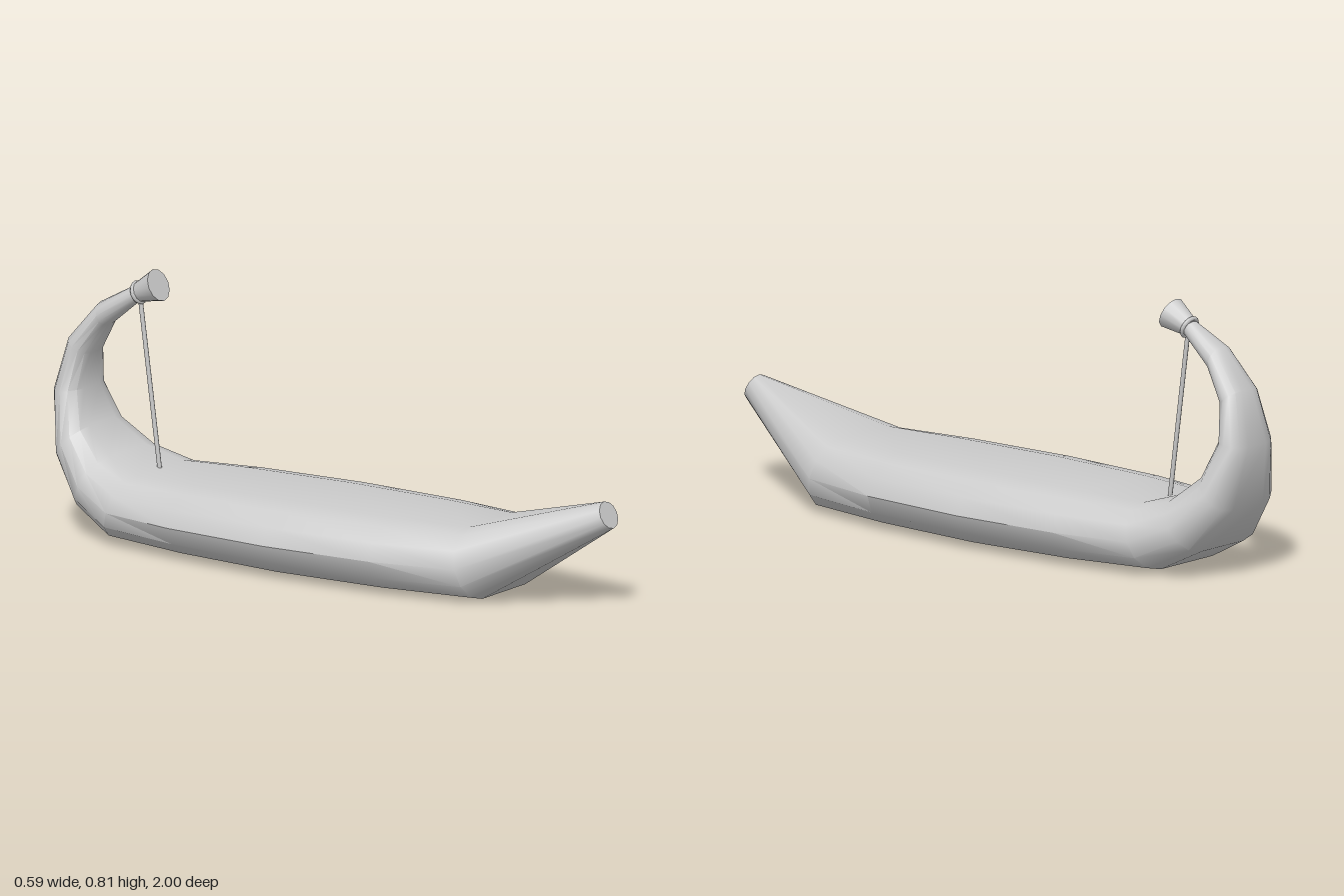
import * as THREE from 'three';
import { toCreasedNormals } from 'three/addons/utils/BufferGeometryUtils.js';

const material = new THREE.MeshStandardMaterial({ color: 0xcccccc });

// Stations from bow to stern neck: [deck z, deck y, keel z, keel y, half width, flat share of the width]
const STATIONS = [
  [0.965, 0.335, 1.0, 0.258, 0.042, 0.02],
  [0.55, 0.22, 0.6, 0.007, 0.222, 0.5],
  [0.3, 0.218, 0.3, 0.004, 0.275, 0.5],
  [-0.07, 0.217, -0.07, 0.002, 0.295, 0.5],
  [-0.43, 0.213, -0.43, 0.006, 0.277, 0.5],
  [-0.65, 0.208, -0.72, 0.014, 0.236, 0.5],
  [-0.77, 0.245, -0.86, 0.085, 0.197, 0.48],
  [-0.862, 0.32, -0.96, 0.22, 0.148, 0.45],
  [-0.9, 0.425, -0.997, 0.415, 0.1, 0.4],
  [-0.89, 0.53, -0.957, 0.578, 0.073, 0.3],
  [-0.835, 0.622, -0.86, 0.692, 0.053, 0.2],
  [-0.725, 0.71, -0.742, 0.757, 0.03, 0.02],
];

// Stadium section: two half twelve-gons pushed apart by a flat deck and bottom
function section([tz, ty, bz, by, w, flat]) {
  const pts = [];
  const add = (k, side) => {
    const a = (k * Math.PI) / 6;
    const s = Math.sin(a) / 2;
    pts.push(new THREE.Vector3(
      side * w * flat + w * (1 - flat) * Math.cos(a),
      (ty + by) / 2 + (ty - by) * s,
      (tz + bz) / 2 + (tz - bz) * s,
    ));
  };
  for (let k = -3; k <= 3; k++) add(k, 1);
  for (let k = 3; k <= 9; k++) add(k, -1);
  return pts;
}

// Skins the sections and closes both ends
function loft(rings) {
  const n = rings[0].length;
  const pos = [];
  const tri = (...v) => v.forEach((p) => pos.push(p.x, p.y, p.z));
  for (let i = 0; i < rings.length - 1; i++) {
    for (let j = 0; j < n; j++) {
      const k = (j + 1) % n;
      const [a, b, c, d] = [rings[i][j], rings[i][k], rings[i + 1][j], rings[i + 1][k]];
      tri(a, c, b);
      tri(b, c, d);
    }
  }
  const first = rings[0];
  const last = rings[rings.length - 1];
  for (let j = 1; j < n - 1; j++) {
    tri(first[0], first[j], first[j + 1]);
    tri(last[0], last[j + 1], last[j]);
  }
  const g = new THREE.BufferGeometry();
  g.setAttribute('position', new THREE.Float32BufferAttribute(pos, 3));
  return toCreasedNormals(g, 0.65);
}

// Tapered round bar between two points in the centre plane, given as [y, z]
function bar(name, from, to, r0, r1, sides) {
  const a = new THREE.Vector3(0, ...from);
  const b = new THREE.Vector3(0, ...to);
  const dir = b.clone().sub(a);
  const mesh = new THREE.Mesh(new THREE.CylinderGeometry(r1, r0, dir.length(), sides), material);
  mesh.name = name;
  mesh.position.copy(a).add(b).multiplyScalar(0.5);
  mesh.quaternion.setFromUnitVectors(new THREE.Vector3(0, 1, 0), dir.normalize());
  return mesh;
}

export function createModel() {
  const boat = new THREE.Group();
  boat.name = 'reedBoat';

  // Hull with raised bow and curled stern
  const hull = new THREE.Mesh(loft(STATIONS.map(section)), material);
  hull.name = 'hull';
  boat.add(hull);

  // Flared tip of the stern and the binding behind it
  boat.add(bar('sternFlare', [0.733, -0.736], [0.768, -0.658], 0.028, 0.05, 12));

  const binding = new THREE.Mesh(new THREE.TorusGeometry(0.03, 0.007, 6, 16), material);
  binding.name = 'sternBinding';
  binding.position.set(0, 0.735, -0.73);
  binding.rotation.x = -0.41;
  boat.add(binding);

  // Stay from the stern neck down to the deck
  boat.add(bar('stay', [0.2, -0.653], [0.715, -0.724], 0.007, 0.007, 8));

  return boat;
}
